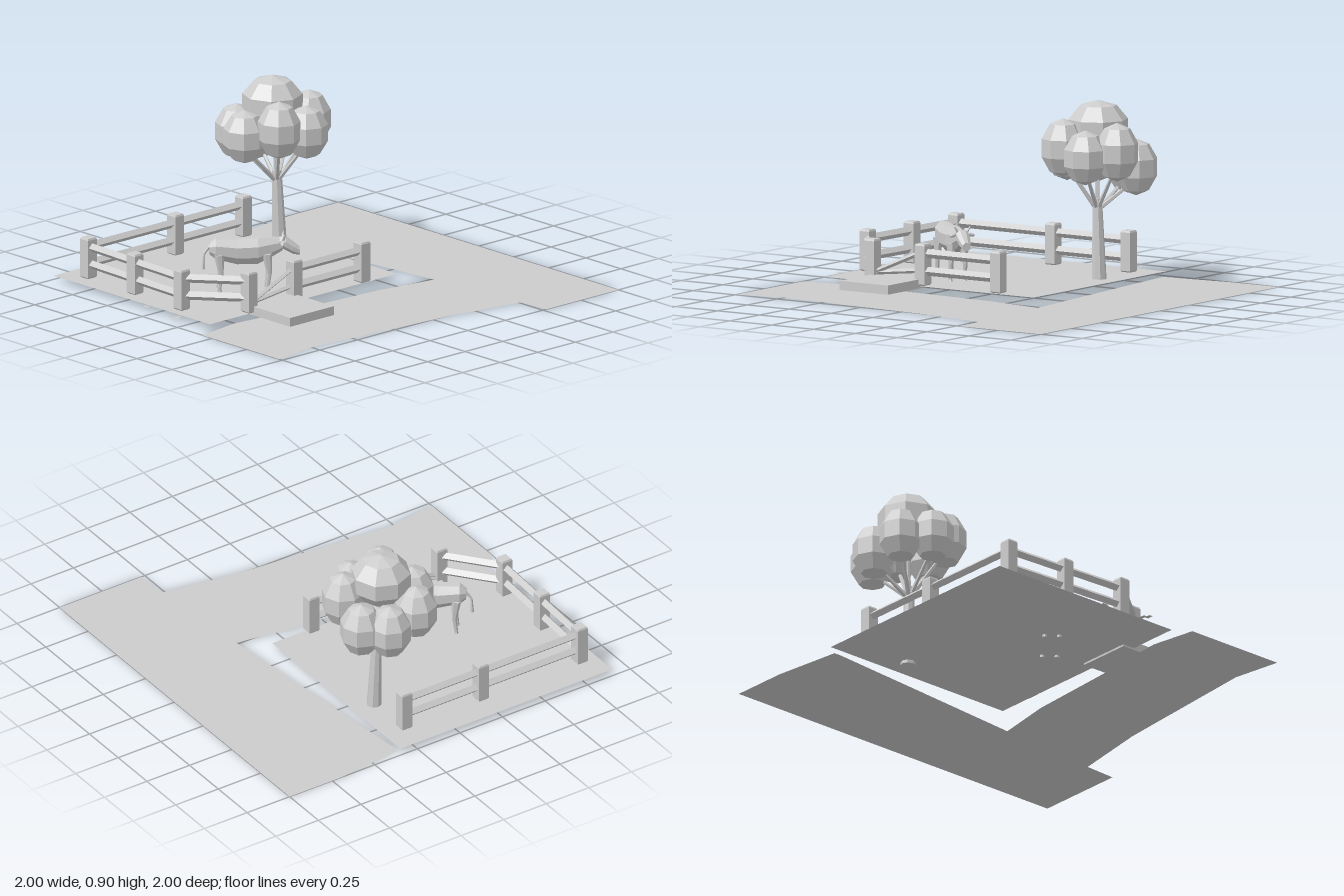
import * as THREE from 'three';

const grey = new THREE.MeshStandardMaterial({ color: 0xcccccc, flatShading: true, side: THREE.DoubleSide });
grey.name = 'plain grey';

function add(parent, name, geometry, x = 0, y = 0, z = 0) {
  const mesh = new THREE.Mesh(geometry, grey);
  mesh.name = name;
  mesh.position.set(x, y, z);
  parent.add(mesh);
  return mesh;
}

// Flat ground sheet from [x, z] corners
function sheet(parent, name, corners, y) {
  const shape = new THREE.Shape(corners.map(([x, z]) => new THREE.Vector2(x, -z)));
  return add(parent, name, new THREE.ShapeGeometry(shape).rotateX(-Math.PI / 2), 0, y, 0);
}

// Straight tapered bar between two points
function bar(parent, name, a, b, r0, r1 = r0, sides = 6) {
  const from = new THREE.Vector3(...a), to = new THREE.Vector3(...b);
  const dir = to.clone().sub(from);
  const mesh = add(parent, name, new THREE.CylinderGeometry(r1, r0, dir.length(), sides));
  mesh.position.copy(from).add(to).multiplyScalar(0.5);
  mesh.quaternion.setFromUnitVectors(new THREE.Vector3(0, 1, 0), dir.normalize());
  return mesh;
}

// Diamond-section fence rail; its corners point up, down and sideways
function rail(parent, name, a, b, r) {
  const from = new THREE.Vector3(...a), to = new THREE.Vector3(...b);
  const geometry = new THREE.CylinderGeometry(r, r, from.distanceTo(to), 4).rotateX(Math.PI / 2);
  const mesh = add(parent, name, geometry);
  mesh.position.copy(from).add(to).multiplyScalar(0.5);
  mesh.lookAt(to);
  return mesh;
}

// Closed body from elliptical rings [z, y, halfWidth, halfHeight]
function loft(rings, sides = 8) {
  const pos = [], index = [];
  rings.forEach(([z, y, w, h]) => {
    for (let i = 0; i < sides; i++) {
      const t = ((i + 0.5) / sides) * Math.PI * 2;
      pos.push(Math.cos(t) * w, y + Math.sin(t) * h, z);
    }
  });
  for (let k = 0; k < rings.length - 1; k++) {
    for (let i = 0; i < sides; i++) {
      const a = k * sides + i, b = k * sides + (i + 1) % sides;
      index.push(a, b, b + sides, a, b + sides, a + sides);
    }
  }
  const last = (rings.length - 1) * sides;
  for (let i = 1; i < sides - 1; i++) {
    index.push(0, i + 1, i, last, last + i, last + i + 1);
  }
  const g = new THREE.BufferGeometry();
  g.setAttribute('position', new THREE.Float32BufferAttribute(pos, 3));
  g.setIndex(index);
  g.computeVertexNormals();
  return g;
}

function buildGround(model) {
  sheet(model, 'road', [
    [-1, 0.18], [-0.76, 0.14], [-0.33, 0.18], [0.15, 0.21], [0.46, 0.265], [0.39, -0.42],
    [0.34, -0.92], [0.34, -0.96], [0.7, -1], [1, -1], [1, 1], [0.52, 1], [0.51, 0.83],
    [0.1, 0.76], [-0.74, 0.69], [-1, 0.73],
  ], 0);
  const box = (x0, x1, z0, z1) => [[x0, z0], [x1, z0], [x1, z1], [x0, z1]];
  sheet(model, 'paddock', box(-0.905, 0.34, -0.985, 0.13), 0.025);
  sheet(model, 'edgePatch', box(-0.925, -0.905, -0.33, -0.295), 0.02);
  sheet(model, 'edgePatch', [[-0.97, -0.07], [-0.95, -0.07], [-0.95, -0.09], [-0.905, -0.09],
    [-0.905, -0.07], [-0.935, -0.07], [-0.935, -0.05], [-0.97, -0.05]], 0.02);
  add(model, 'gateSlab', new THREE.BoxGeometry(0.29, 0.045, 0.34), -0.48, 0.0375, 0.233);
}

function buildFence(model) {
  const fence = new THREE.Group();
  fence.name = 'fence';
  model.add(fence);
  const posts = [[0.22, -0.84], [-0.23, -0.84], [-0.81, -0.84], [-0.825, -0.49],
    [-0.84, -0.14], [-0.63, 0.115], [-0.33, 0.115], [0.12, 0.115]];
  posts.forEach(([x, z], i) => {
    // Post with a slightly pinched foot and top
    const post = [[0.024, 0.03], [0.029, 0.036], [0.029, 0.225], [0.025, 0.234]];
    const pts = [[0, 0.03], ...post, [0, 0.234]].map(([r, y]) => new THREE.Vector2(r * Math.SQRT2, y));
    add(fence, 'post', new THREE.LatheGeometry(pts, 4).rotateY(Math.PI / 4), x, 0, z);
    const next = posts[i + 1];
    if (next && i !== 5) {
      for (const y of [0.187, 0.1]) {
        rail(fence, 'rail', [x, y, z], [next[0], y, next[1]], 0.022);
      }
    }
  });
  // Loose rails across the gateway
  rail(fence, 'looseRail', [-0.61, 0.075, 0.115], [-0.34, 0.19, 0.115], 0.012);
  rail(fence, 'looseRail', [-0.61, 0.07, 0.11], [-0.34, 0.1, 0.11], 0.012);
}

function buildTree(model) {
  const tree = new THREE.Group();
  tree.name = 'tree';
  model.add(tree);
  bar(tree, 'trunk', [0.225, 0.01, -0.585], [0.21, 0.42, -0.59], 0.037, 0.023, 8);
  // Leaf clumps: x, y, z, radius, half height
  const clumps = [
    [0.2, 0.765, -0.61, 0.155, 0.135],
    [0.1, 0.675, -0.455, 0.11, 0.145], [0.255, 0.64, -0.425, 0.11, 0.135],
    [0.37, 0.665, -0.53, 0.11, 0.145], [0.37, 0.575, -0.69, 0.11, 0.14],
    [0.26, 0.57, -0.775, 0.11, 0.14], [0.09, 0.61, -0.75, 0.11, 0.14],
    [0.015, 0.625, -0.61, 0.11, 0.135],
  ];
  for (const [x, y, z, r, h] of clumps) {
    bar(tree, 'branch', [0.21, 0.36, -0.59], [x, y - 0.06, z], 0.012, 0.008, 5);
    add(tree, 'leafClump', new THREE.SphereGeometry(1, 8, 5), x, y, z).scale.set(r, h, r);
  }
}

function buildCow(model) {
  const cow = new THREE.Group();
  cow.name = 'cow';
  cow.position.set(-0.39, 0, -0.2);
  cow.rotation.y = 0.9;
  model.add(cow);
  add(cow, 'body', loft([[-0.155, 0.235, 0.025, 0.03], [-0.125, 0.235, 0.046, 0.055],
    [-0.02, 0.22, 0.052, 0.068], [0.08, 0.222, 0.052, 0.07], [0.14, 0.235, 0.036, 0.055],
    [0.2, 0.25, 0.024, 0.034]]));
  add(cow, 'head', loft([[0.185, 0.262, 0.026, 0.024], [0.215, 0.256, 0.036, 0.036],
    [0.25, 0.232, 0.031, 0.032], [0.285, 0.214, 0.022, 0.021]]));
  for (const s of [-1, 1]) {
    bar(cow, 'horn', [s * 0.022, 0.275, 0.205], [s * 0.04, 0.305, 0.21], 0.008, 0.003, 5);
    const ear = add(cow, 'ear', new THREE.SphereGeometry(1, 6, 4), s * 0.045, 0.262, 0.2);
    ear.scale.set(0.021, 0.01, 0.012);
    ear.rotation.z = -s * 0.3;
    // Thigh, shin and hoof
    for (const z of [-0.1, 0.135]) {
      const x = s * 0.036;
      bar(cow, 'upperLeg', [x, 0.11, z], [x * 0.9, 0.21, z - 0.01], 0.012, 0.024);
      bar(cow, 'lowerLeg', [x, 0.03, z - 0.01], [x, 0.115, z], 0.009, 0.012);
      bar(cow, 'hoof', [x, 0.015, z - 0.006], [x, 0.035, z - 0.01], 0.014, 0.01);
    }
  }
  bar(cow, 'tail', [0, 0.25, -0.15], [0, 0.21, -0.18], 0.008, 0.006, 5);
  bar(cow, 'tail', [0, 0.21, -0.18], [0, 0.13, -0.185], 0.006, 0.009, 5);
}

export function createModel() {
  const model = new THREE.Group();
  model.name = 'paddock';
  buildGround(model);
  buildFence(model);
  buildTree(model);
  buildCow(model);
  return model;
}
